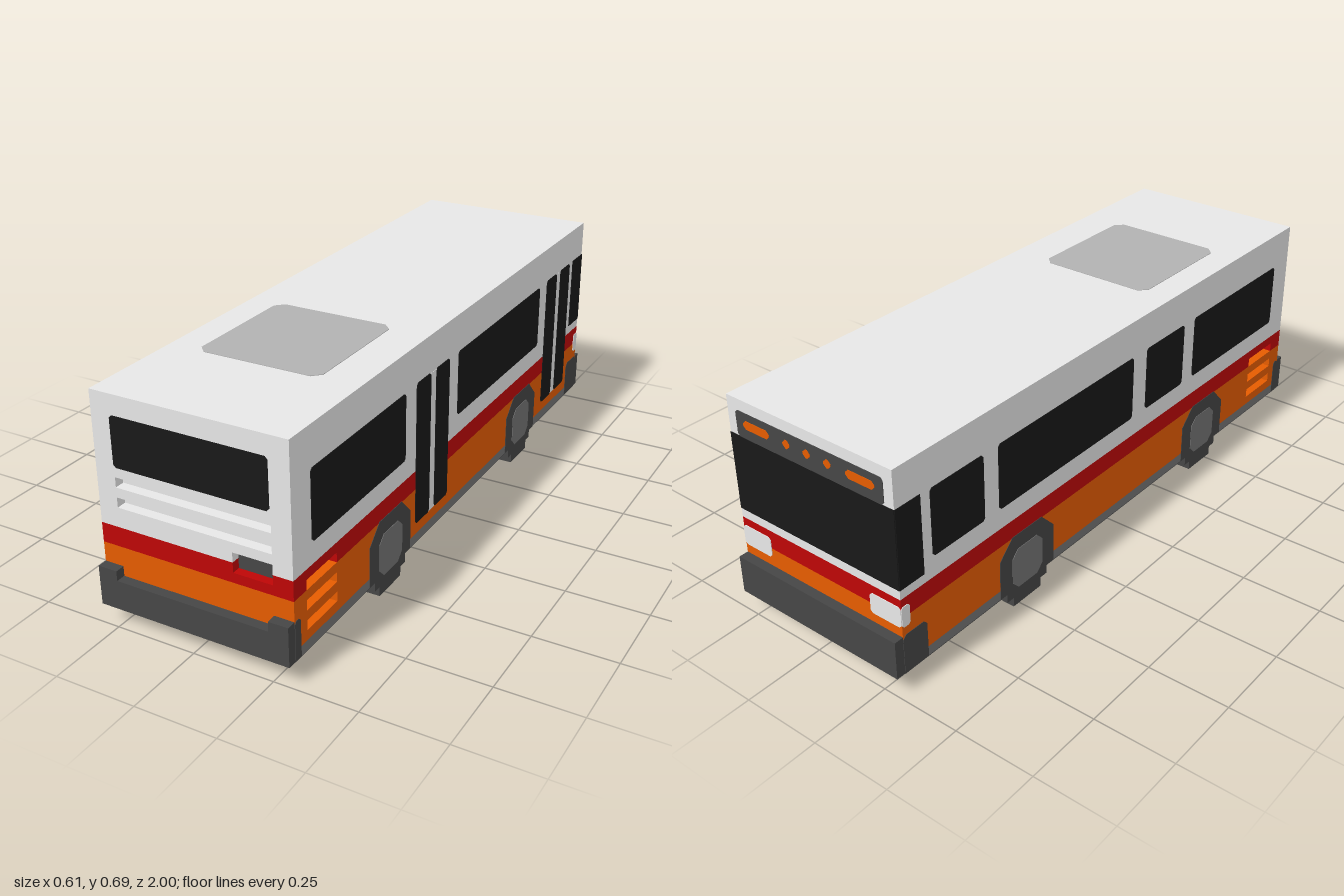
import * as THREE from 'three';

const makeMat = (name, color) => {
  const m = new THREE.MeshStandardMaterial({ color });
  m.name = name;
  return m;
};

export function createModel() {
  const bus = new THREE.Group();
  bus.name = 'bus';

  const grey = makeMat('light grey paint', 0xe8e8e8);
  const red = makeMat('red paint', 0xbe0606);
  const orange = makeMat('orange paint', 0xe65c00);
  const dark = makeMat('dark grey trim', 0x464646);
  const skirt = makeMat('mid grey skirt', 0x747474);
  const glass = makeMat('black glass', 0x191919);
  const hatch = makeMat('roof hatch grey', 0xb2b2b2);
  const lamp = makeMat('lamp white', 0xf4f4f4);
  const floor = makeMat('underside grey', 0x868686);

  const W = 0.3, L = 0.97, H = 0.69, D = 0.03;

  // Box given by its limits on each axis
  function block(name, mat, x0, x1, y0, y1, z0, z1) {
    const mesh = new THREE.Mesh(new THREE.BoxGeometry(x1 - x0, y1 - y0, z1 - z0), mat);
    mesh.position.set((x0 + x1) / 2, (y0 + y1) / 2, (z0 + z1) / 2);
    mesh.name = name;
    bus.add(mesh);
  }

  // Thin plate with cut corners on one face; u is x on the ends and roof, z on the sides
  function plate(name, mat, face, u0, u1, v0, v1, cut = 0.008, t = 0.002, cutBottom = cut) {
    const flip = face === 'right' || face === 'back' ? -1 : 1;
    const a = Math.min(u0 * flip, u1 * flip), b = Math.max(u0 * flip, u1 * flip);
    const s = new THREE.Shape([
      [a + cutBottom, v0], [b - cutBottom, v0], [b, v0 + cutBottom], [b, v1 - cut],
      [b - cut, v1], [a + cut, v1], [a, v1 - cut], [a, v0 + cutBottom],
    ].map(([x, y]) => new THREE.Vector2(x, y)));
    const geo = new THREE.ExtrudeGeometry(s, { depth: t, bevelEnabled: false });
    const offset = { front: L, back: L, left: W, right: W, top: H }[face];
    geo.translate(0, 0, offset);
    if (face === 'right') geo.rotateY(Math.PI / 2);
    if (face === 'left') geo.rotateY(-Math.PI / 2);
    if (face === 'back') geo.rotateY(Math.PI);
    if (face === 'top') geo.rotateX(-Math.PI / 2);
    const mesh = new THREE.Mesh(geo, mat);
    mesh.name = name;
    bus.add(mesh);
  }

  // Painted bands of the body
  const bands = [[skirt, 0.06, 0.09], [orange, 0.09, 0.24], [red, 0.24, 0.3], [grey, 0.3, H]];
  for (const [m, y0, y1] of bands) {
    block('bodyBand', m, -W, W, y0, y1, -L, 0.76);
    block('bodyBand', m, -W, W, y0, y1, 0.91, L - D);
  }

  // Body section with the sunken side grilles
  const grilleRows = [[skirt, 0.06, 0.09], [orange, 0.09, 0.12], [orange, 0.15, 0.18],
    [orange, 0.21, 0.24], [red, 0.27, 0.3], [grey, 0.3, H]];
  for (const [m, y0, y1] of grilleRows) block('grilleSurround', m, -W, W, y0, y1, 0.76, 0.91);
  for (const y of [0.12, 0.18, 0.24]) block('grilleSlot', grey, -W + D, W - D, y, y + D, 0.76, 0.91);

  // End wall with two long slots and a sunken plate holder
  const z0 = L - D;
  for (const [m, y0, y1] of [[skirt, 0.06, 0.09], [orange, 0.09, 0.24], [red, 0.24, 0.27],
    [grey, 0.33, 0.36], [grey, 0.39, 0.42], [grey, 0.45, H]]) {
    block('endWall', m, -W, W, y0, y1, z0, L);
  }
  for (const y of [0.36, 0.42]) {
    block('slotEnd', grey, -W, -0.24, y, y + D, z0, L);
    block('slotEnd', grey, 0.24, W, y, y + D, z0, L);
  }
  for (const [m, y] of [[red, 0.27], [grey, 0.3]]) {
    block('plateSurround', m, -W, 0.12, y, y + D, z0, L);
    block('plateSurround', m, 0.24, W, y, y + D, z0, L);
  }
  block('plateHolder', dark, 0.12, 0.24, 0.27, 0.33, z0, z0 + 0.004);

  // Underside with its dark rim, and bumpers
  block('undersideRim', dark, -W, W, 0.058, 0.06, -L, L);
  block('underside', floor, -0.27, 0.27, 0.056, 0.058, -0.88, 0.94);
  block('bumper', dark, -W, W, 0.06, 0.18, -1, -L);
  block('bumper', dark, -W, W, 0.06, 0.15, L, 1);
  for (const s of [-1, 1]) block('bumperCorner', dark, s * 0.27 - 0.03, s * 0.27 + 0.03, 0.15, 0.18, L, 1);

  // Parts shared by both sides
  for (const side of ['right', 'left']) {
    const s = side === 'right' ? 1 : -1;
    plate('bumperWrap', dark, side, -L, -0.88, 0.06, 0.183, 0.012, 0.0015, 0);
    plate('bumperWrap', dark, side, 0.943, L, 0.06, 0.18, 0.008, 0.0015, 0);
    plate('windscreenWrap', glass, side, -L, -0.88, 0.33, 0.575, 0);
    plate('headlampWrap', lamp, side, -L, -0.94, 0.21, 0.275, 0.006);
    for (const z of [0.465, -0.462]) {
      plate('wheelArch', dark, side, z - 0.12, z + 0.12, 0.06, 0.243, 0.055, 0.0015, 0);
      plate('wheelHub', skirt, side, z - 0.067, z + 0.067, 0.06, 0.194, 0.025, 0.003);
      const x0 = Math.min(s * 0.24, s * W), x1 = Math.max(s * 0.24, s * W);
      block('tyreUpper', dark, x0, x1, 0.03, 0.06, z - 0.09, z + 0.09);
      block('tyreLower', dark, x0, x1, 0, 0.03, z - 0.062, z + 0.062);
    }
  }

  // Side windows
  for (const [a, b] of [[0.38, 0.88], [-0.58, 0.045]]) plate('sideWindow', glass, 'right', a, b, 0.365, 0.572);
  for (const [a, b] of [[0.38, 0.88], [0.115, 0.32], [-0.58, 0.045], [-0.845, -0.64]]) {
    plate('sideWindow', glass, 'left', a, b, 0.365, 0.572);
  }

  // Double doors with a pale centre strip
  for (const z of [0.21, -0.747]) {
    plate('doorStrip', grey, 'right', z - 0.02, z + 0.02, 0.125, 0.572, 0, 0.001);
    for (const s of [-1, 1]) {
      plate('doorLeaf', glass, 'right', z + s * 0.016, z + s * 0.104, 0.125, 0.575);
    }
  }

  // End window and roof hatch
  plate('endWindow', glass, 'front', -0.24, 0.238, 0.48, 0.63);
  plate('roofHatch', hatch, 'top', -0.208, 0.178, -0.635, -0.225, 0.025, 0.0015);

  // Windscreen, route sign and headlamps
  plate('windscreen', glass, 'back', -W, W, 0.33, 0.575, 0);
  plate('routeSign', dark, 'back', -0.268, 0.268, 0.575, 0.655);
  for (const s of [-1, 1]) {
    plate('signLamp', orange, 'back', s * 0.14, s * 0.24, 0.607, 0.633, 0.01, 0.0035);
    plate('headlamp', lamp, 'back', s * 0.19, s * W, 0.21, 0.275, 0.008);
  }
  for (const x of [-0.075, 0, 0.075]) {
    plate('signDot', orange, 'back', x - 0.013, x + 0.013, 0.607, 0.633, 0.01, 0.0035);
  }

  return bus;
}
